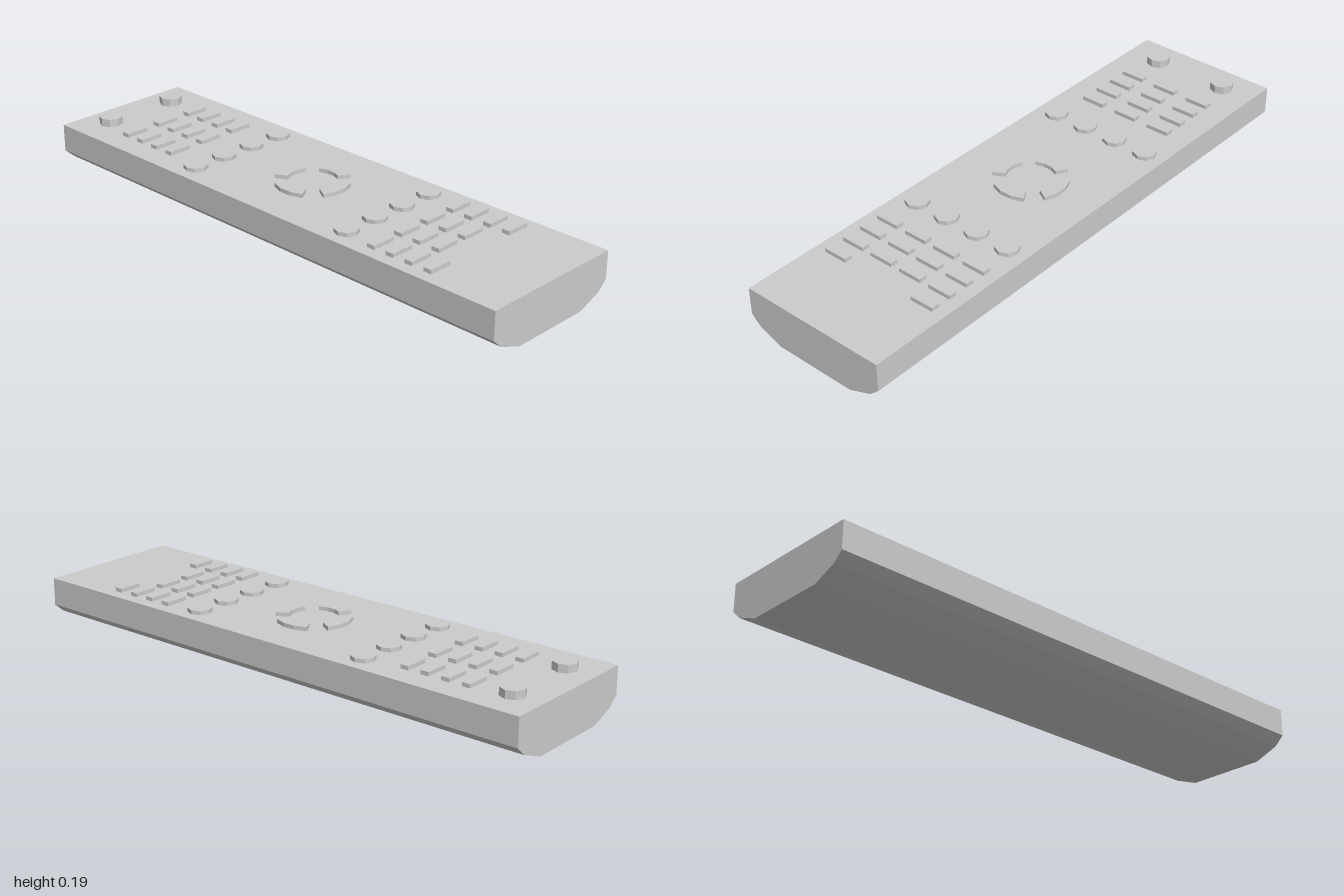
import * as THREE from 'three';

const TOP = 0.165;

export function createModel() {
  const group = new THREE.Group();
  const material = new THREE.MeshStandardMaterial({ color: 0xcccccc, flatShading: true });

  const add = (name, geometry, x = 0, y = 0, z = 0) => {
    const mesh = new THREE.Mesh(geometry, material);
    mesh.name = name;
    mesh.position.set(x, y, z);
    group.add(mesh);
    return mesh;
  };

  // Body: bevelled-bottom cross-section run along z
  const half = [[0.15, 0], [0.238, 0.034], [0.273, 0.066], [0.273, TOP]];
  const outline = [...half, ...half.map(([x, y]) => [-x, y]).reverse()];
  const section = new THREE.Shape(outline.map(([x, y]) => new THREE.Vector2(x, y)));
  add('body', new THREE.ExtrudeGeometry(section, { depth: 2, bevelEnabled: false }), 0, 0, -1);

  // Octagonal round buttons
  const roundButton = (name, x, z, height) =>
    add(name, new THREE.CylinderGeometry(0.042, 0.042, height, 8), x, TOP + height / 2, z);
  for (const x of [-0.139, 0.146]) roundButton('cornerButton', x, -0.892, 0.028);
  for (const z of [-0.367, 0.342])
    for (const x of [-0.194, -0.064, 0.065, 0.195]) roundButton('roundButton', x, z, 0.014);

  // Small rectangular keys
  const keyGeometry = new THREE.BoxGeometry(0.088, 0.014, 0.03);
  const key = (name, x, z) => add(name, keyGeometry, x, TOP + 0.007, z);
  for (let row = 0; row < 4; row++) {
    for (const x of [-0.142, 0, 0.142]) key('upperKey', x, -0.752 + row * 0.077);
    // The last lower row has only its two outer keys
    const columns = row < 3 ? [-0.186, -0.062, 0.061, 0.185] : [-0.186, 0.185];
    for (const x of columns) key('lowerKey', x, 0.477 + row * 0.0765);
  }

  // Ring of four direction keys
  const arc = new THREE.Shape();
  const spread = Math.PI / 6;
  const steps = 3;
  const points = [];
  for (let i = 0; i <= steps; i++) {
    const a = -spread + (2 * spread * i) / steps;
    points.push(new THREE.Vector2(Math.cos(a), Math.sin(a)));
  }
  arc.setFromPoints([
    ...points.map((p) => p.clone().multiplyScalar(0.132)),
    ...points.map((p) => p.clone().multiplyScalar(0.087)).reverse(),
  ]);
  const arcGeometry = new THREE.ExtrudeGeometry(arc, { depth: 0.014, bevelEnabled: false });
  arcGeometry.rotateX(-Math.PI / 2);
  for (let i = 0; i < 4; i++) add('directionKey', arcGeometry, 0, TOP, 0).rotation.y = (i * Math.PI) / 2;

  return group;
}
